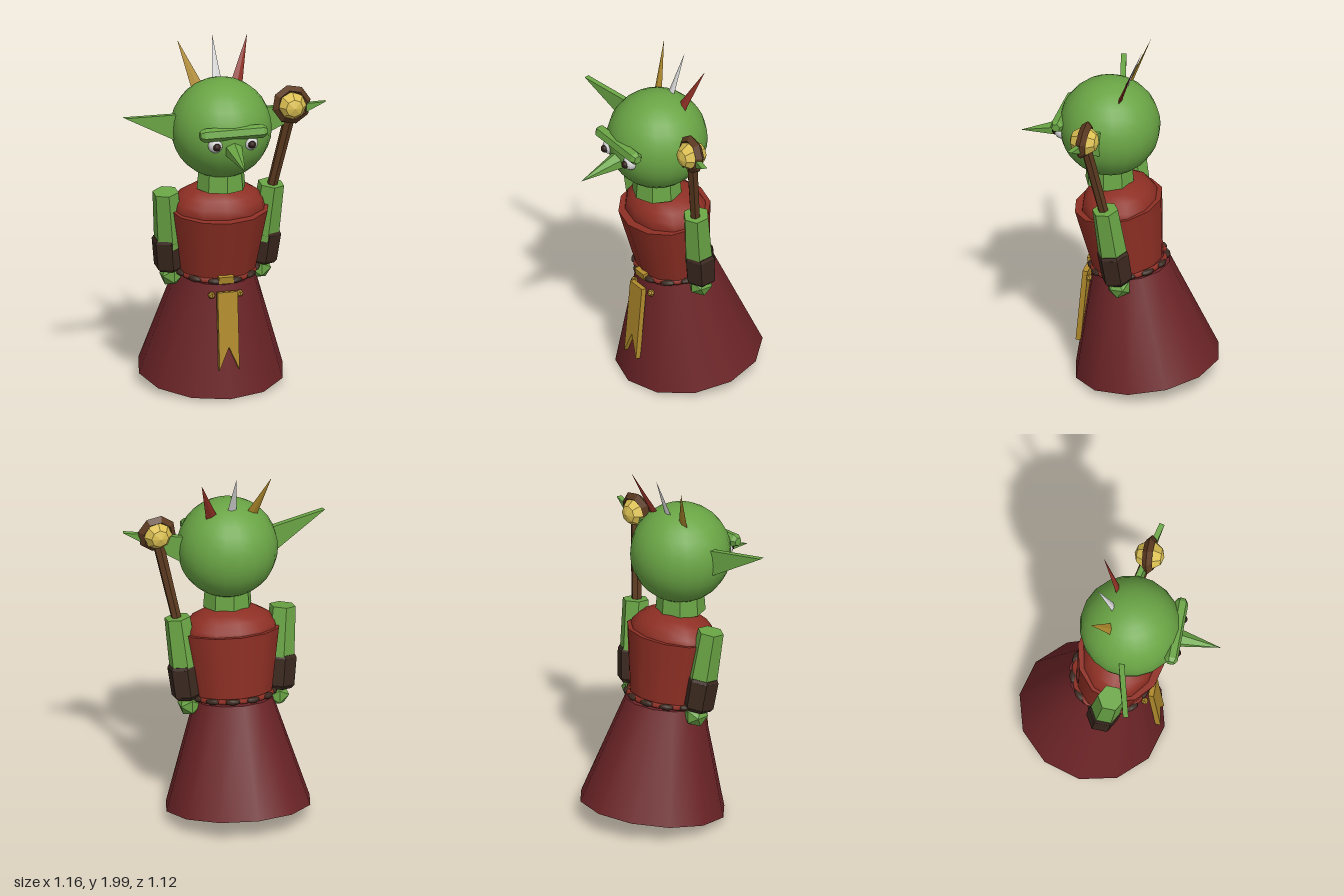
import * as THREE from 'three';

const mat = (name, color) => {
  const m = new THREE.MeshStandardMaterial({ color });
  m.name = name;
  return m;
};

// Faceted copy of a geometry
function flat(g) {
  const f = g.index ? g.toNonIndexed() : g;
  f.computeVertexNormals();
  return f;
}

export function createModel() {
  const skin = mat('green skin', 0x6aa545);
  const robe = mat('dark red robe', 0x6c2427);
  const tunic = mat('red tunic', 0x8e2f24);
  const wood = mat('brown wood', 0x5c3a20);
  const leather = mat('dark leather', 0x3a281f);
  const gold = mat('gold', 0xb08a2c);
  const gem = mat('yellow gem', 0xdcc052);
  const white = mat('white', 0xd8d8d8);
  const black = mat('dark pupil', 0x2a1914);

  const model = new THREE.Group();
  model.name = 'goblinMage';

  function add(name, geo, material, pos = [0, 0, 0], rot = [0, 0, 0], parent = model) {
    const m = new THREE.Mesh(geo, material);
    m.name = name;
    m.position.set(...pos);
    m.rotation.set(...rot);
    parent.add(m);
    return m;
  }

  // Tapered prism from point a (radius ra) to point b (radius rb)
  function limb(name, material, a, b, ra, rb, sides, depth = 1) {
    const A = new THREE.Vector3(...a), B = new THREE.Vector3(...b);
    const dir = B.clone().sub(A);
    const g = new THREE.CylinderGeometry(rb, ra, dir.length(), sides);
    g.scale(1, 1, depth);
    const m = add(name, flat(g), material);
    m.position.copy(A).add(B).multiplyScalar(0.5);
    m.quaternion.setFromUnitVectors(new THREE.Vector3(0, 1, 0), dir.normalize());
    return m;
  }

  const LEAN = 0.15;

  // Robe skirt and feet
  add('skirt', new THREE.CylinderGeometry(0.22, 0.41, 0.61, 12), robe, [0, 0.373, -0.113], [LEAN, 0, 0]);
  for (const s of [-1, 1]) {
    add('foot', new THREE.BoxGeometry(0.12, 0.08, 0.13), leather, [0.12 * s, 0.085, -0.065]);
  }

  // Tunic body and rounded shoulders
  const body = new THREE.CylinderGeometry(0.285, 0.228, 0.36, 12);
  body.scale(1, 1, 0.86);
  add('tunic', body, tunic, [0, 0.882, -0.022], [LEAN, 0, 0]);
  const dome = new THREE.SphereGeometry(1, 12, 10);
  dome.scale(0.27, 0.15, 0.21);
  add('shoulders', dome, tunic, [0, 1.05, -0.005], [0.06, 0, 0]);

  // Belt with dark beads and a buckle
  const belt = new THREE.Group();
  belt.name = 'belt';
  belt.position.set(0, 0.695, -0.055);
  belt.rotation.x = LEAN;
  model.add(belt);
  const band = new THREE.TorusGeometry(0.22, 0.015, 6, 24);
  band.rotateX(Math.PI / 2);
  band.scale(1, 1, 0.93);
  add('beltBand', band, tunic, [0, 0, 0], [0, 0, 0], belt);
  const bead = new THREE.SphereGeometry(1, 8, 6);
  bead.scale(0.042, 0.017, 0.02);
  for (let i = 0; i < 12; i++) {
    const a = ((i + 0.5) / 12) * Math.PI * 2;
    add('beltBead', bead, leather, [Math.sin(a) * 0.225, 0, Math.cos(a) * 0.21], [0, a, 0], belt);
  }
  add('buckle', new THREE.BoxGeometry(0.085, 0.04, 0.03), gold, [0, 0.012, 0.212], [0, 0, 0], belt);

  // Swallow-tailed banner with a pin on each side
  const tail = new THREE.Shape();
  [[-0.057, 0], [-0.057, -0.44], [0, -0.31], [0.057, -0.44], [0.057, 0]].forEach(([x, y], i) =>
    i ? tail.lineTo(x, y) : tail.moveTo(x, y));
  add('banner', new THREE.ExtrudeGeometry(tail, { depth: 0.03, bevelEnabled: false }), gold,
    [0, 0.61, 0.165], [-0.09, 0, 0]);
  for (const s of [-1, 1]) {
    add('bannerPin', flat(new THREE.IcosahedronGeometry(0.022, 0)), gold, [0.08 * s, 0.588, 0.15]);
  }

  // Arms
  for (const s of [-1, 1]) {
    limb('arm', skin, [0.27 * s, 0.84, -0.04], [0.302 * s, 1.16, 0], 0.085, 0.074, 6);
    limb('cuff', leather, [0.264 * s, 0.72, -0.058], [0.28 * s, 0.875, -0.038], 0.087, 0.09, 6);
    limb('cuffRim', leather, [0.262 * s, 0.70, -0.06], [0.264 * s, 0.72, -0.058], 0.072, 0.087, 6);
    limb('cuffTop', leather, [0.28 * s, 0.875, -0.038], [0.282 * s, 0.892, -0.036], 0.09, 0.08, 6);
    add('hand', flat(new THREE.IcosahedronGeometry(0.07, 0)), skin, [0.25 * s, 0.662, -0.065]);
  }

  // Staff with a ringed gem
  limb('staff', wood, [0.285, 1.05, -0.01], [0.395, 1.62, 0.092], 0.028, 0.032, 6);
  add('staffRing', flat(new THREE.TorusGeometry(0.083, 0.028, 4, 8)), wood, [0.392, 1.635, 0.095], [-0.12, 0, 0.2]);
  const stone = new THREE.SphereGeometry(0.083, 8, 5);
  stone.rotateX(Math.PI / 2);
  add('staffGem', flat(stone), gem, [0.392, 1.63, 0.093]);

  // Neck and head
  limb('neck', skin, [0, 1.18, 0.055], [0, 1.28, 0.055], 0.138, 0.13, 8);
  add('head', new THREE.SphereGeometry(0.28, 20, 16), skin, [0, 1.525, 0.055]);
  limb('nose', skin, [0, 1.473, 0.30], [0, 1.42, 0.558], 0.056, 0.001, 6);

  // Heavy brow
  const brow = new THREE.LatheGeometry(
    [[0, -0.19], [0.024, -0.19], [0.038, -0.168], [0.038, 0.168], [0.024, 0.19], [0, 0.19]]
      .map(([r, y]) => new THREE.Vector2(r, y)), 6);
  brow.rotateZ(Math.PI / 2);
  add('brow', flat(brow), skin, [0, 1.568, 0.312], [0.25, 0, 0]);

  // Eyes and flat pointed ears
  const earShape = new THREE.Shape();
  earShape.moveTo(-0.06, -0.215);
  earShape.lineTo(0.325, 0);
  earShape.lineTo(-0.06, -0.035);
  const earGeo = new THREE.ExtrudeGeometry(earShape, { depth: 0.03, bevelEnabled: false });
  earGeo.translate(0, 0, -0.015);
  for (const s of [-1, 1]) {
    add('eye', new THREE.SphereGeometry(0.042, 12, 8), white, [0.1 * s, 1.503, 0.3]);
    add('pupil', new THREE.SphereGeometry(0.022, 10, 8), black, [0.1 * s, 1.501, 0.335]);
    const ear = new THREE.Group();
    ear.name = s > 0 ? 'leftEar' : 'rightEar';
    ear.position.set(0.26 * s, 1.65, 0.052);
    ear.rotation.y = s > 0 ? -0.245 : Math.PI + 0.245;
    add('earBlade', earGeo, skin, [0, 0, 0], [0, 0, 0], ear);
    model.add(ear);
  }

  // Three head spikes
  limb('rightSpike', gold, [-0.112, 1.74, -0.03], [-0.198, 1.985, -0.127], 0.034, 0.001, 4, 0.3);
  limb('middleSpike', white, [0, 1.74, -0.025], [0, 2, -0.127], 0.03, 0.001, 4, 0.3);
  limb('leftSpike', tunic, [0.112, 1.74, -0.03], [0.198, 1.985, -0.127], 0.034, 0.001, 4, 0.3);

  return model;
}
